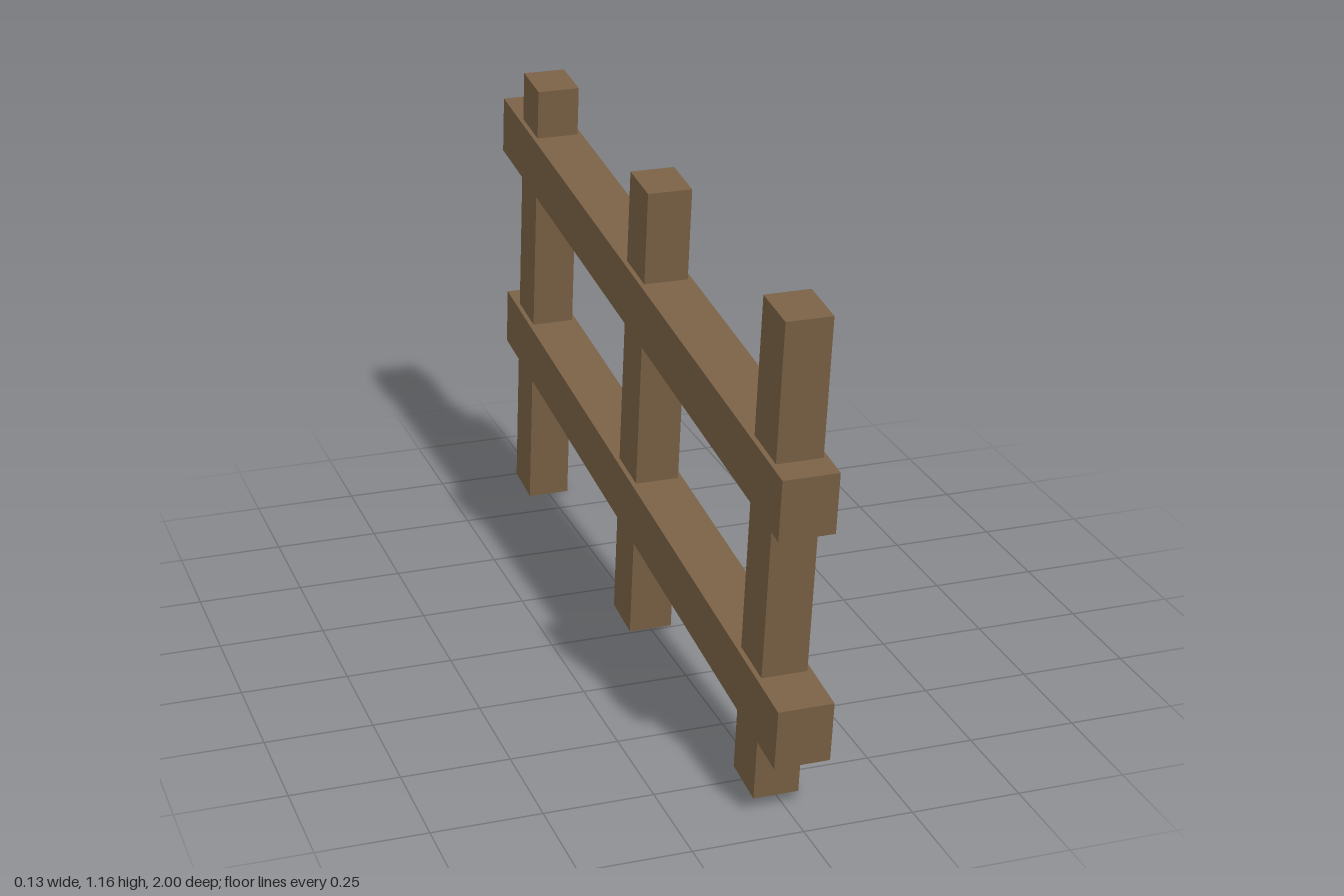
import * as THREE from 'three';

export function createModel() {
  const model = new THREE.Group();
  model.name = 'slopedFence';
  const wood = new THREE.MeshStandardMaterial({ color: 0x7a6045 });
  wood.name = 'brown wood';

  // Every timber shares the same lean about x
  const lean = 0.119;
  function timber(name, w, h, d, y, z) {
    const mesh = new THREE.Mesh(new THREE.BoxGeometry(w, h, d), wood);
    mesh.name = name;
    mesh.position.set(0, y, z);
    mesh.rotation.x = lean;
    model.add(mesh);
  }

  // Three upright posts
  [['frontPost', 0.843], ['middlePost', 0], ['backPost', -0.84]].forEach(([name, z]) =>
    timber(name, 0.104, 1.158, 0.124, 0.583, z));

  // Two thicker rails enclosing the posts
  [['lowerRail', 0.343], ['upperRail', 0.868]].forEach(([name, y]) =>
    timber(name, 0.126, 0.144, 1.998, y, 0));

  return model;
}
